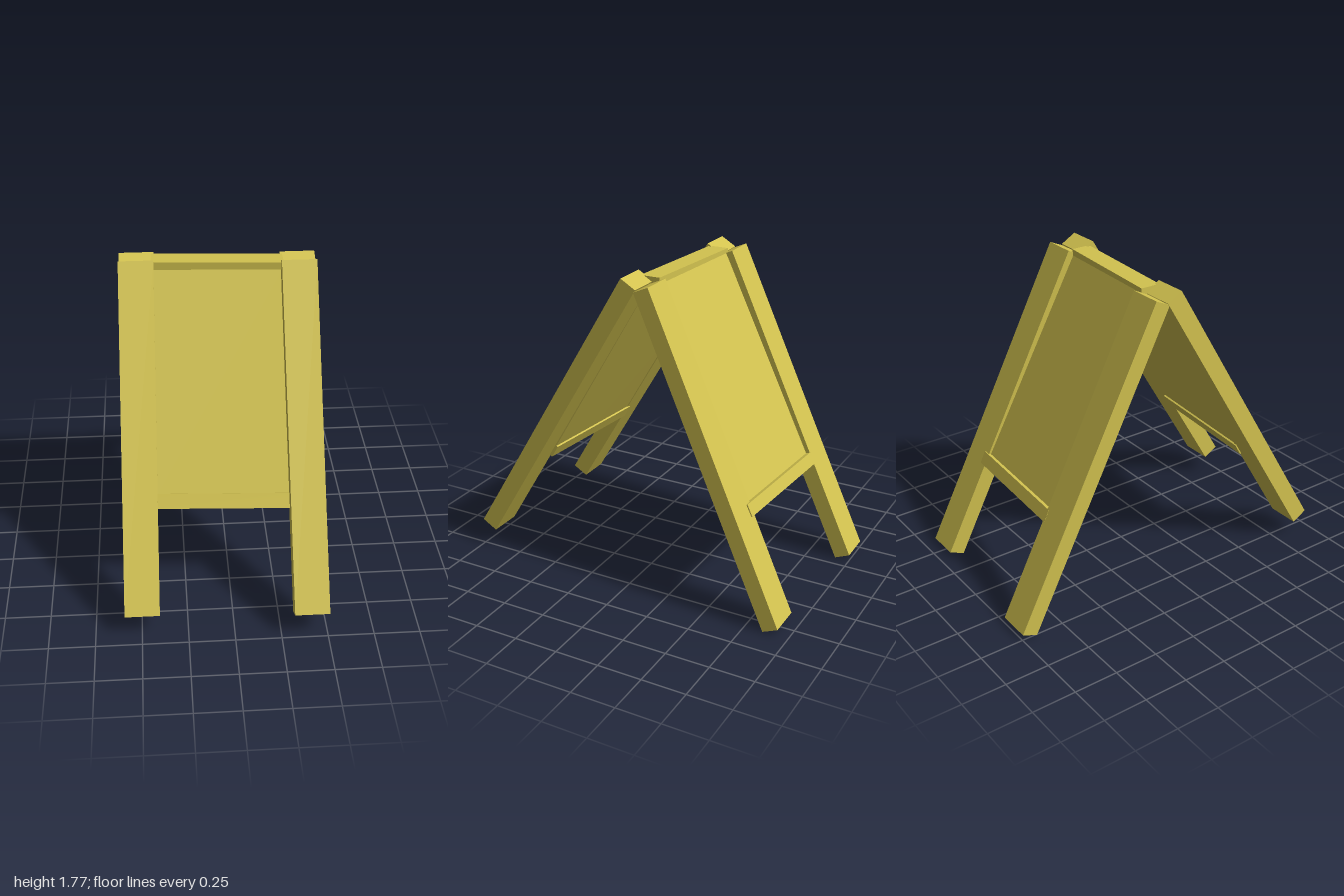
import * as THREE from 'three';

const material = new THREE.MeshStandardMaterial({ color: 0xd2c24f });

// Skewed board: outer face given by bottom and top edges (viewer-left point, viewer-right point),
// thickened along the depth vector.
function board(name, bottom, top, depth) {
  const geometry = new THREE.BoxGeometry(1, 1, 1);
  const p = geometry.attributes.position;
  const v = new THREE.Vector3();
  const d = new THREE.Vector3(...depth);
  for (let i = 0; i < p.count; i++) {
    const edge = p.getY(i) < 0 ? bottom : top;
    v.set(...edge[p.getX(i) < 0 ? 0 : 1]);
    if (p.getZ(i) < 0) v.add(d);
    p.setXYZ(i, v.x, v.y, v.z);
  }
  geometry.computeVertexNormals();
  const mesh = new THREE.Mesh(geometry, material);
  mesh.name = name;
  return mesh;
}

// Leg of constant width; foot and head are [centre x, y, z] of the outer face edges.
function leg(name, foot, head, depth) {
  const side = depth[2] < 0 ? 1 : -1;
  const edge = ([x, y, z]) => [[x - side * 0.094, y, z], [x + side * 0.094, y, z]];
  return board(name, edge(foot), edge(head), depth);
}

export function createModel() {
  const group = new THREE.Group();
  group.name = 'aFrameSign';
  const frontDepth = [0, -0.05, -0.085];
  const backDepth = [0, -0.037, 0.085];

  // Four splayed legs
  group.add(
    leg('frontLeftLeg', [0.41, 0.165, 1.0], [0.4, 1.78, 0.03], frontDepth),
    leg('frontRightLeg', [-0.496, 0.15, 0.94], [-0.465, 1.77, -0.03], frontDepth),
    leg('backLeftLeg', [0.495, 0.045, -0.94], [0.405, 1.755, -0.13], backDepth),
    leg('backRightLeg', [-0.413, 0.045, -1.0], [-0.462, 1.747, -0.185], backDepth),
  );

  // Front panel and its bottom rail
  group.add(
    board('frontPanel',
      [[-0.41, 0.64, 0.572], [0.33, 0.65, 0.622]],
      [[-0.39, 1.73, -0.075], [0.33, 1.73, -0.02]], [0, -0.015, -0.028]),
    board('frontRail',
      [[-0.41, 0.605, 0.6], [0.33, 0.615, 0.652]],
      [[-0.41, 0.675, 0.56], [0.33, 0.685, 0.61]], [0, -0.025, -0.043]),
  );

  // Back panel and its bottom rail
  group.add(
    board('backPanel',
      [[0.41, 0.59, -0.665], [-0.35, 0.59, -0.715]],
      [[0.33, 1.73, -0.095], [-0.39, 1.73, -0.15]], [0, -0.012, 0.028]),
    board('backRail',
      [[0.41, 0.565, -0.7], [-0.35, 0.57, -0.75]],
      [[0.41, 0.63, -0.67], [-0.35, 0.635, -0.72]], [0, -0.02, 0.055]),
  );

  // Flat ridge board joining the two panels
  group.add(board('ridgeBoard',
    [[-0.385, 1.755, -0.036], [0.32, 1.757, 0.012]],
    [[-0.385, 1.755, -0.15], [0.32, 1.757, -0.1]], [0, -0.042, 0]));

  return group;
}
